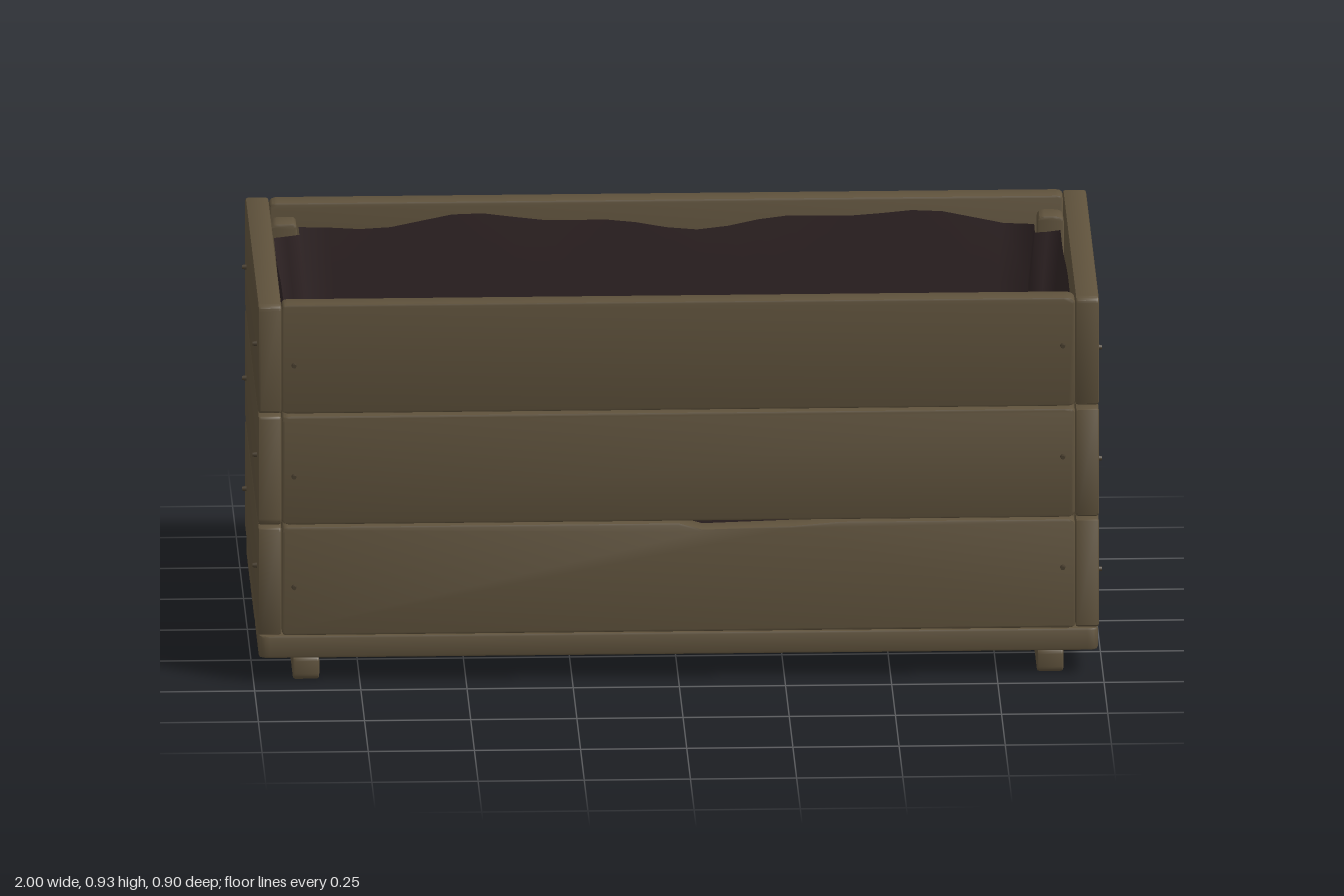
import * as THREE from 'three';
import { toCreasedNormals } from 'three/addons/utils/BufferGeometryUtils.js';

const wood = new THREE.MeshStandardMaterial({ color: 0x5f523c });
wood.name = 'weathered wood';
const fabric = new THREE.MeshStandardMaterial({ color: 0x302425, side: THREE.DoubleSide });
fabric.name = 'dark liner fabric';
const metal = new THREE.MeshStandardMaterial({ color: 0x463c2d });
metal.name = 'dull screw metal';

let seed = 7;
const rand = () => (seed = (seed * 16807) % 2147483647) / 2147483647;

function add(parent, geometry, material, name, x, y, z) {
  const mesh = new THREE.Mesh(geometry, material);
  mesh.name = name;
  mesh.position.set(x, y, z);
  parent.add(mesh);
  return mesh;
}

// Worn plank centred on its origin: softened edges, uneven corners,
// and an optional chip [start, end, depth] out of the top edge.
function plankGeometry(length, height, thick, chip) {
  const b = 0.006, a = length / 2 - b, h = height / 2 - b;
  const cut = () => [0.004 + rand() * 0.018, 0.003 + rand() * 0.009];
  const [c0, c1, c2, c3] = [cut(), cut(), cut(), cut()];
  const s = new THREE.Shape();
  s.moveTo(-a + c0[0], -h);
  s.lineTo(a - c1[0], -h);
  s.quadraticCurveTo(a, -h, a, -h + c1[1]);
  s.lineTo(a, h - c2[1]);
  s.quadraticCurveTo(a, h, a - c2[0], h);
  if (chip) {
    const [x0, x1, d] = chip, w = x1 - x0;
    s.lineTo(x1, h);
    s.lineTo(x1 - w * 0.3, h - d * 0.6);
    s.lineTo(x0 + w * 0.15, h - d);
    s.lineTo(x0, h);
  }
  s.lineTo(-a + c3[0], h);
  s.quadraticCurveTo(-a, h, -a, h - c3[1]);
  s.lineTo(-a, -h + c0[1]);
  s.quadraticCurveTo(-a, -h, -a + c0[0], -h);
  const g = new THREE.ExtrudeGeometry(s, {
    depth: thick - 2 * b, bevelEnabled: true, bevelSize: b, bevelThickness: b,
    bevelSegments: 2, curveSegments: 4,
  });
  g.translate(0, 0, b - thick / 2);
  return toCreasedNormals(g, 0.6);
}

// One wall of three stacked planks, facing +z before it is turned
function wall(name, length, distance, screwX, angle, chips) {
  const g = new THREE.Group();
  g.name = name;
  const head = new THREE.CylinderGeometry(0.005, 0.007, 0.012, 8);
  head.rotateX(Math.PI / 2);
  [0.251, 0.523, 0.796].forEach((y, i) => {
    add(g, plankGeometry(length, 0.268, 0.055, chips[i]), wood, 'wallPlank', 0, y, distance - 0.0275);
    add(g, head, metal, 'screw', -screwX, y - 0.014, distance + 0.004);
    add(g, head, metal, 'screw', screwX, y + 0.016, distance + 0.004);
  });
  g.rotation.y = angle;
  return g;
}

// Fabric pocket: outline loops wrapping the corner posts, closed by a floor
function linerGeometry() {
  const X = 0.926, Z = 0.382, px = 0.866, pz = 0.326, n = 24;
  const path = [];
  const run = (x0, z0, x1, z1, k) => {
    for (let i = 0; i < k; i++) path.push([x0 + (x1 - x0) * i / k, z0 + (z1 - z0) * i / k]);
  };
  run(-px, Z, px, Z, n); run(px, Z, px, pz, 2); run(px, pz, X, pz, 2);
  run(X, pz, X, -pz, 12); run(X, -pz, px, -pz, 2); run(px, -pz, px, -Z, 2);
  run(px, -Z, -px, -Z, n); run(-px, -Z, -px, -pz, 2); run(-px, -pz, -X, -pz, 2);
  run(-X, -pz, -X, pz, 12); run(-X, pz, -px, pz, 2); run(-px, pz, -px, Z, 2);
  // height and scale of each loop, from the wavy rim to the floor centre
  const rows = [[0.88, 1], [0.72, 0.985], [0.5, 0.985], [0.25, 0.985], [0.16, 0.975],
    [0.135, 0.94], [0.13, 0.8], [0.125, 0.4], [0.125, 0]];
  const pos = [], idx = [], m = path.length;
  rows.forEach(([y, s], r) => {
    path.forEach(([x, z]) => {
      const wave = r === 0 ? 0.016 * Math.sin(x * 7 + z * 5) + 0.008 * Math.sin(x * 17 - z * 9) : 0;
      const fold = r > 0 && r < 4 ? 0.004 * Math.sin(x * 11 + z * 13 + r) : 0;
      pos.push(x * (s + fold), y + wave, z * (s + fold));
    });
    if (r === 0) return;
    for (let i = 0; i < m; i++) {
      const j = (i + 1) % m, p = (r - 1) * m, q = r * m;
      idx.push(p + i, q + i, p + j, p + j, q + i, q + j);
    }
  });
  const g = new THREE.BufferGeometry();
  g.setAttribute('position', new THREE.Float32BufferAttribute(pos, 3));
  g.setIndex(idx);
  // turn faces inward, towards the inside of the pocket
  for (let i = 0; i < idx.length; i += 3) [idx[i + 1], idx[i + 2]] = [idx[i + 2], idx[i + 1]];
  g.setIndex(idx);
  g.computeVertexNormals();
  return g;
}

export function createModel() {
  const model = new THREE.Group();
  model.name = 'planterBox';

  // Walls: long sides sit between the end walls
  model.add(
    wall('frontWall', 1.868, 0.442, 0.905, 0, [[0, 0.38, 0.016]]),
    wall('backWall', 1.868, 0.442, 0.905, Math.PI, [null, [-0.5, -0.3, 0.01]]),
    wall('leftWall', 0.888, 0.99, 0.36, Math.PI / 2, [[0.3, 0.42, 0.009]]),
    wall('rightWall', 0.888, 0.99, 0.36, -Math.PI / 2, []),
  );

  // Floor planks with gaps
  for (const [z, width] of [[0.2975, 0.283], [0, 0.283], [-0.2925, 0.283]]) {
    add(model, plankGeometry(1.976, width, 0.055), wood, 'floorPlank', 0, 0.088, z).rotation.x = -Math.PI / 2;
  }

  // Runner feet and corner posts
  for (const sx of [-1, 1]) {
    add(model, plankGeometry(0.842, 0.062, 0.062), wood, 'footRunner', sx * 0.876, 0.031, 0).rotation.y = Math.PI / 2;
    for (const sz of [-1, 1]) {
      add(model, plankGeometry(0.062, 0.78, 0.062), wood, 'cornerPost', sx * 0.903, 0.507, sz * 0.358);
    }
  }

  add(model, linerGeometry(), fabric, 'fabricLiner', 0, 0, 0);
  return model;
}
